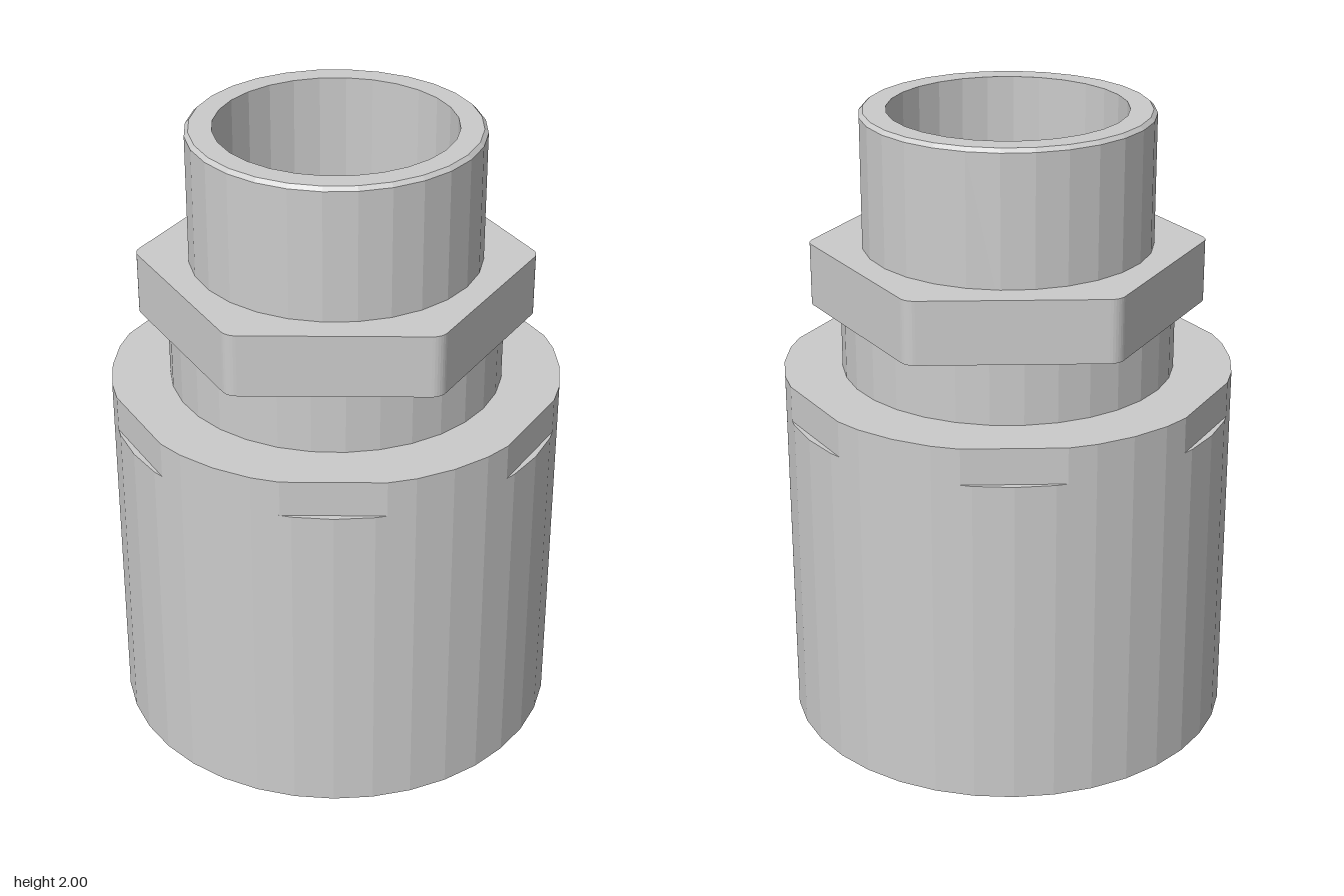
import * as THREE from 'three';

const material = new THREE.MeshStandardMaterial({ color: 0xcccccc, flatShading: true });
const DEG = Math.PI / 180;

function add(group, name, geometry) {
  const mesh = new THREE.Mesh(geometry, material);
  mesh.name = name;
  group.add(mesh);
}

// Revolve [radius, height] pairs around the y axis
function turned(profile, segments) {
  return new THREE.LatheGeometry(profile.map(([r, y]) => new THREE.Vector2(r, y)), segments);
}

// Extrude a plan outline upwards from y0 to y1
function slab(shape, y0, y1) {
  const geometry = new THREE.ExtrudeGeometry(shape, {
    depth: y1 - y0, bevelEnabled: false, curveSegments: 3,
  });
  return geometry.rotateX(-Math.PI / 2).translate(0, y0, 0);
}

// Circle with six wrench flats, in step with a 36-sided cylinder
function flattedCircle(radius, apothem) {
  const half = 12.87;
  const points = [];
  for (let k = 0; k < 6; k++) {
    for (const a of [-half, half, 20, 30, 40]) {
      const r = Math.abs(a) === half ? apothem / Math.cos(half * DEG) : radius;
      const t = (a + 60 * k) * DEG;
      points.push(new THREE.Vector2(r * Math.cos(t), r * Math.sin(t)));
    }
  }
  return new THREE.Shape(points);
}

// Hexagon with rounded corners and a round hole
function roundedHex(apothem, fillet, holeRadius) {
  const shape = new THREE.Shape();
  const d = (apothem - fillet) / Math.cos(30 * DEG);
  for (let k = 0; k < 6; k++) {
    const t = (30 + 60 * k) * DEG;
    shape.absarc(d * Math.cos(t), d * Math.sin(t), fillet, t - 30 * DEG, t + 30 * DEG, false);
  }
  shape.closePath();
  const hole = [];
  for (let i = 0; i < 28; i++) {
    const t = -i / 28 * Math.PI * 2;
    hole.push(new THREE.Vector2(holeRadius * Math.cos(t), holeRadius * Math.sin(t)));
  }
  shape.holes.push(new THREE.Path(hole));
  return shape;
}

export function createModel() {
  const group = new THREE.Group();
  group.name = 'pipeAdapter';

  // Wide socket with a blind bore open at the bottom
  add(group, 'socketBody', turned([
    [0, 1.0], [0.54, 1.0], [0.54, 0], [0.71, 0], [0.71, 1.06], [0.67, 1.06],
  ], 36));

  // Shoulder with wrench flats
  add(group, 'flattedShoulder', slab(flattedCircle(0.71, 0.69), 1.06, 1.175));

  // Neck between shoulder and nut
  add(group, 'neck', turned([[0.525, 1.175], [0.525, 1.375]], 32));

  // Hexagonal nut
  add(group, 'hexNut', slab(roundedHex(0.54, 0.05, 0.42), 1.375, 1.575));

  // Chamfered spigot with a blind bore open at the top
  add(group, 'spigot', turned([
    [0.455, 1.5], [0.455, 1.988], [0.443, 2], [0.372, 2], [0.372, 1.4], [0, 1.4],
  ], 28));

  return group;
}
